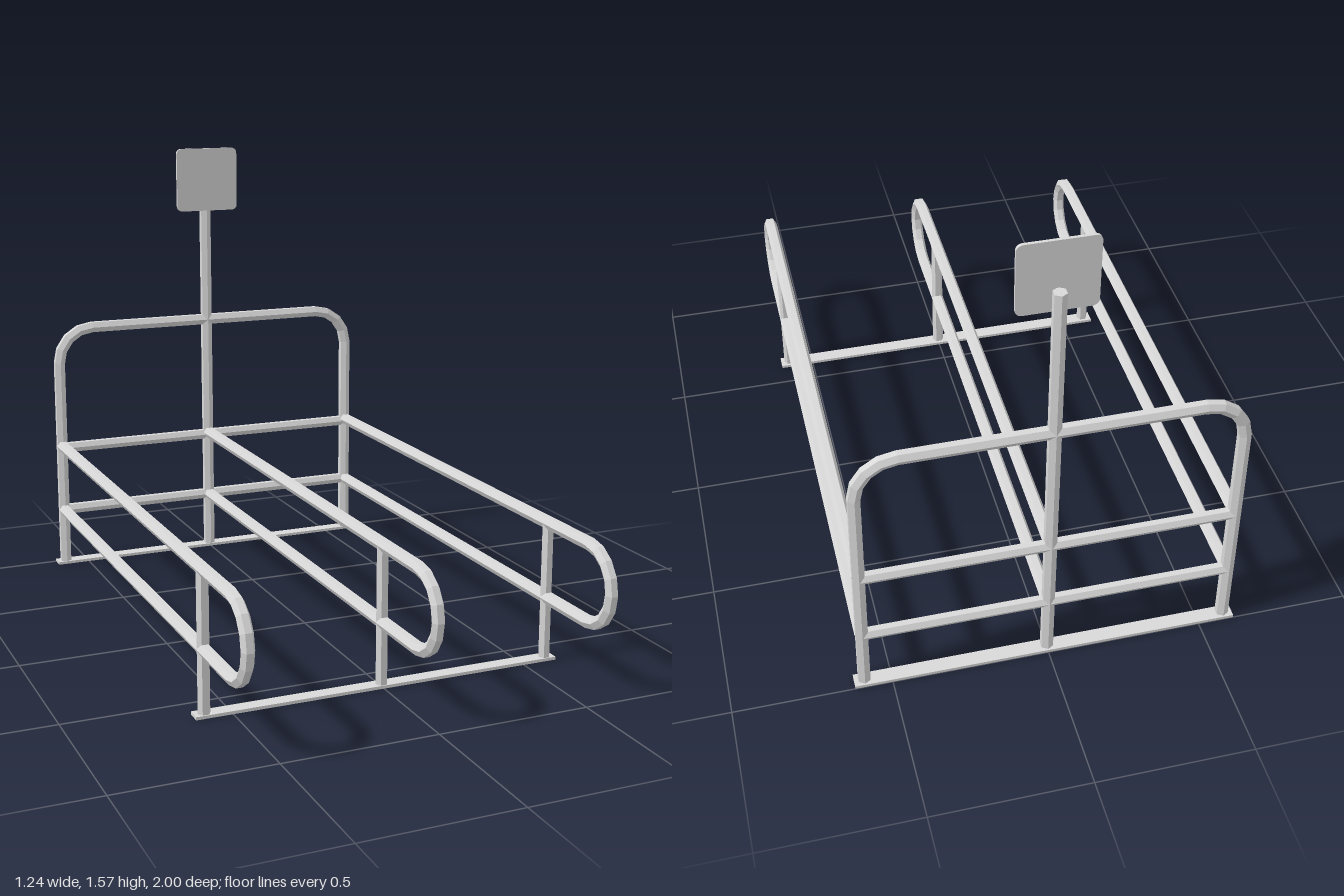
import * as THREE from 'three';

const V = (x, y, z) => new THREE.Vector3(x, y, z);
const SIDES = 6;

// Sweeps a six-sided pipe along a path lying in the plane with the given normal
function pipe(points, radius, planeNormal) {
  const pos = [], index = [], n = points.length;
  points.forEach((p, i) => {
    const a = p.clone().sub(points[Math.max(i - 1, 0)]).normalize();
    const b = points[Math.min(i + 1, n - 1)].clone().sub(p).normalize();
    const t = a.clone().add(b).normalize();
    const side = planeNormal.clone().cross(t).normalize();
    const miter = 1 / t.dot(i < n - 1 ? b : a);
    for (let k = 0; k < SIDES; k++) {
      const ang = ((k + 0.5) / SIDES) * Math.PI * 2;
      const q = p.clone()
        .addScaledVector(side, Math.cos(ang) * radius * miter)
        .addScaledVector(planeNormal, Math.sin(ang) * radius);
      pos.push(q.x, q.y, q.z);
    }
  });
  // walls, facing outwards
  for (let i = 0; i < n - 1; i++) {
    for (let k = 0; k < SIDES; k++) {
      const a = i * SIDES + k, b = i * SIDES + ((k + 1) % SIDES);
      index.push(a, b, a + SIDES, b, b + SIDES, a + SIDES);
    }
  }
  // end caps
  const last = (n - 1) * SIDES;
  for (let k = 1; k < SIDES - 1; k++) {
    index.push(0, k + 1, k, last, last + k, last + k + 1);
  }
  const g = new THREE.BufferGeometry();
  g.setAttribute('position', new THREE.Float32BufferAttribute(pos, 3));
  g.setIndex(index);
  const flat = g.toNonIndexed();
  flat.computeVertexNormals();
  return flat;
}

// Points of an arc, placed by a function of (cos, sin)
function arc(from, to, steps, place) {
  return Array.from({ length: steps + 1 }, (_, i) => {
    const a = from + ((to - from) * i) / steps;
    return place(Math.cos(a), Math.sin(a));
  });
}

export function createModel() {
  const group = new THREE.Group();
  const steel = new THREE.MeshStandardMaterial({ color: 0xd8d8d8 });
  steel.name = 'greySteel';

  const add = (name, geometry) => {
    const mesh = new THREE.Mesh(geometry, steel);
    mesh.name = name;
    group.add(mesh);
    return mesh;
  };

  const X = V(1, 0, 0), Z = V(0, 0, 1);
  const backZ = -0.974, frontZ = 0.61, halfW = 0.586, R = 0.0215;
  const railTop = 0.463, railLow = 0.213;

  // Back hoop with rounded upper corners
  const bend = 0.13, hoopTop = 0.911;
  const cx = halfW - bend, cy = hoopTop - bend;
  add('backHoop', pipe([
    V(halfW, 0.005, backZ),
    ...arc(0, Math.PI / 2, 4, (c, s) => V(cx + c * bend, cy + s * bend, backZ)),
    ...arc(Math.PI / 2, Math.PI, 4, (c, s) => V(-cx + c * bend, cy + s * bend, backZ)),
    V(-halfW, 0.005, backZ),
  ], R, Z));

  // Cross bars of the back frame
  for (const [name, y] of [['upperCrossBar', 0.455], ['lowerCrossBar', railLow]]) {
    add(name, pipe([V(-halfW, y, backZ), V(halfW, y, backZ)], 0.02, Z));
  }

  // Sign pole
  add('signPole', pipe([V(0, 0.005, backZ), V(0, 1.41, backZ)], R, Z));

  // Looped side rails, each with a front post
  const loopR = (railTop - railLow) / 2, loopY = (railTop + railLow) / 2;
  const loopZ = 0.981 - loopR;
  for (const [name, x] of [['right', -halfW], ['middle', 0], ['left', halfW]]) {
    add(name + 'Rail', pipe([
      V(x, railTop, backZ),
      ...arc(Math.PI / 2, -Math.PI / 2, 8, (c, s) => V(x, loopY + s * loopR, loopZ + c * loopR)),
      V(x, railLow, backZ),
    ], R, X));
    add(name + 'FrontPost', pipe([V(x, 0.005, frontZ), V(x, railTop, frontZ)], 0.02, X));
  }

  // Flat floor strips
  for (const [name, z] of [['frontFloorStrip', 0.607], ['backFloorStrip', -0.976]]) {
    add(name, new THREE.BoxGeometry(1.236, 0.01, 0.048)).position.set(0, 0.005, z);
  }

  // Sign plate with rounded corners
  const w = 0.119, h = 0.117, r = 0.02;
  const s = new THREE.Shape();
  s.absarc(w - r, h - r, r, 0, Math.PI / 2);
  s.absarc(-w + r, h - r, r, Math.PI / 2, Math.PI);
  s.absarc(-w + r, -h + r, r, Math.PI, Math.PI * 1.5);
  s.absarc(w - r, -h + r, r, Math.PI * 1.5, Math.PI * 2);
  const plate = new THREE.ExtrudeGeometry(s, { depth: 0.01, bevelEnabled: false, curveSegments: 4 });
  add('signPlate', plate).position.set(0, 1.449, -0.955);

  return group;
}
